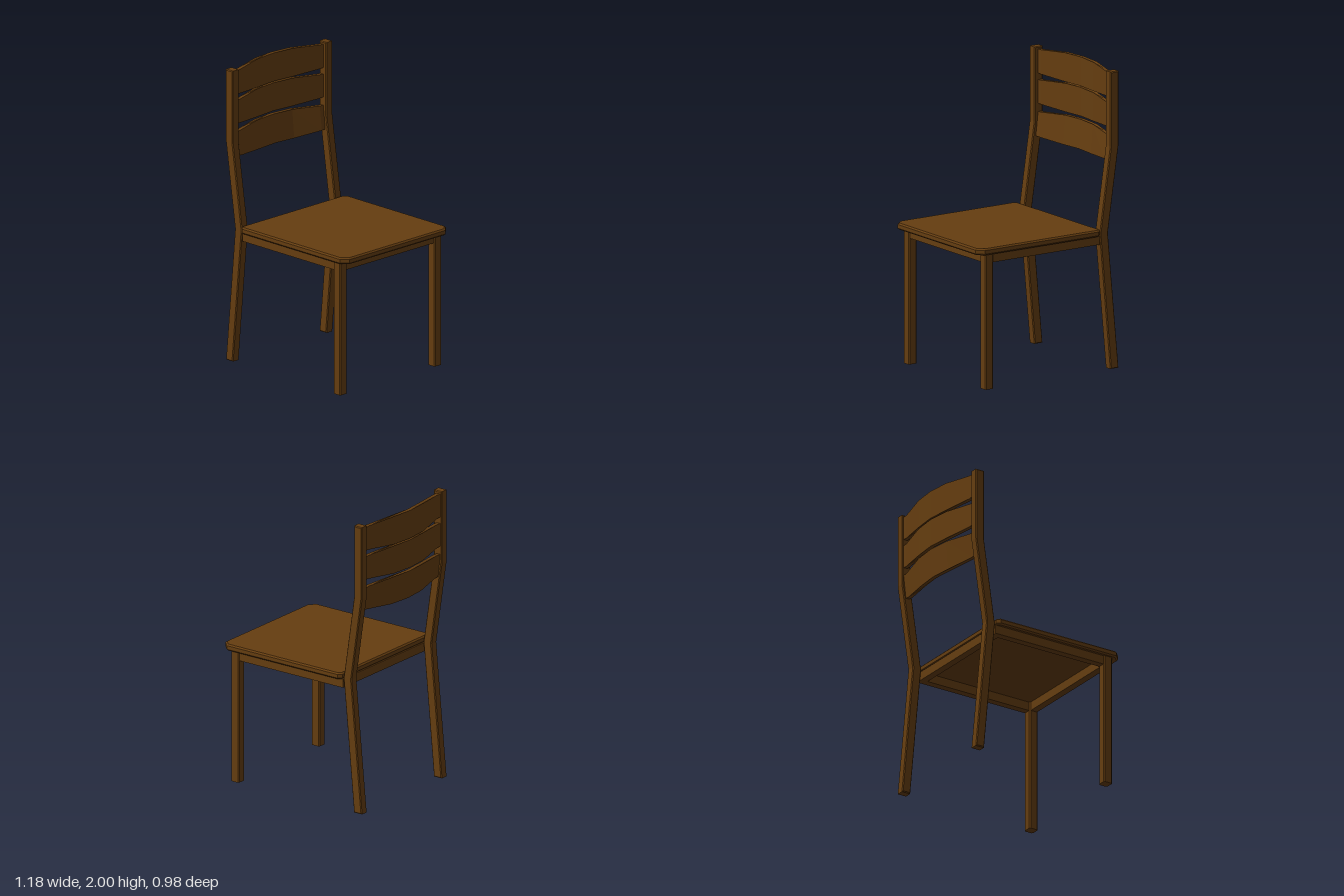
import * as THREE from 'three';

export function createModel() {
  const model = new THREE.Group();
  const wood = new THREE.MeshStandardMaterial({ color: 0x653d10 });
  wood.name = 'brown wood';

  const add = (name, geometry, x = 0, y = 0, z = 0) => {
    const mesh = new THREE.Mesh(geometry, wood);
    mesh.name = name;
    mesh.position.set(x, y, z);
    model.add(mesh);
    return mesh;
  };

  // Extrude an outline to a total depth, with a small chamfer kept inside it
  const extrude = (points, depth, bevel) => new THREE.ExtrudeGeometry(
    new THREE.Shape(points.map(([x, y]) => new THREE.Vector2(x, y))),
    {
      depth: depth - 2 * bevel, bevelEnabled: bevel > 0, bevelSize: bevel,
      bevelThickness: bevel, bevelOffset: -bevel, bevelSegments: 1,
    },
  ).translate(0, 0, bevel);

  // Seat board: wide front corner cuts, narrow rear ones
  const seat = extrude([
    [-0.39, -0.465], [-0.367, -0.488], [0.545, -0.488], [0.59, -0.443],
    [0.59, 0.443], [0.545, 0.488], [-0.367, 0.488], [-0.39, 0.465],
  ], 0.045, 0.01).rotateX(-Math.PI / 2);
  add('seat', seat, 0, 0.91, 0);

  // Rear posts bend at the seat and again below the slats
  const post = extrude([
    [-0.545, 0], [-0.48, 0], [-0.395, 0.92], [-0.48, 1.5],
    [-0.48, 2], [-0.545, 2], [-0.545, 1.5], [-0.46, 0.92],
  ], 0.06, 0.006).translate(0, 0, -0.03);

  // Front legs with chamfered vertical edges
  const w = 0.0325, c = 0.025;
  const leg = extrude([
    [-c, -w], [c, -w], [w, -c], [w, c], [c, w], [-c, w], [-w, c], [-w, -c],
  ], 0.91, 0).rotateX(-Math.PI / 2);

  for (const [side, s] of [['left', -1], ['right', 1]]) {
    add(`${side} rear post`, post, 0, 0, s * 0.432);
    add(`${side} front leg`, leg, 0.495, 0, s * 0.435);
    add(`${side} seat rail`, new THREE.BoxGeometry(0.855, 0.06, 0.05), 0.0375, 0.88, s * 0.435);
  }
  add('front seat rail', new THREE.BoxGeometry(0.05, 0.06, 0.82), 0.495, 0.88, 0);
  add('rear seat rail', new THREE.BoxGeometry(0.05, 0.06, 0.82), -0.365, 0.88, 0);

  // Bowed back slats: plan curve extruded upward, tapered toward the ends
  const curve = [
    [-0.535, -0.41], [-0.535, -0.37], [-0.58, -0.16], [-0.595, 0],
    [-0.58, 0.16], [-0.535, 0.37], [-0.535, 0.41],
  ];
  const thickness = 0.028;
  const outline = [
    ...curve.map(([x, z]) => [x + thickness, z]),
    ...[...curve].reverse(),
  ];
  const slat = (name, bottom, top, lean) => {
    const height = top - bottom;
    const geometry = extrude(outline, height, 0).rotateX(-Math.PI / 2);
    const p = geometry.attributes.position;
    for (let i = 0; i < p.count; i++) {
      const taper = 0.018 * Math.max(0, (Math.abs(p.getZ(i)) - 0.16) / 0.25);
      const t = p.getY(i) / height;
      p.setY(i, THREE.MathUtils.lerp(bottom + taper, top - taper, t));
      p.setX(i, p.getX(i) + lean * (1 - t));
    }
    geometry.computeVertexNormals();
    add(name, geometry);
  };
  slat('upper slat', 1.805, 2.0, 0);
  slat('middle slat', 1.602, 1.795, 0);
  slat('lower slat', 1.385, 1.58, 0.018);

  return model;
}
